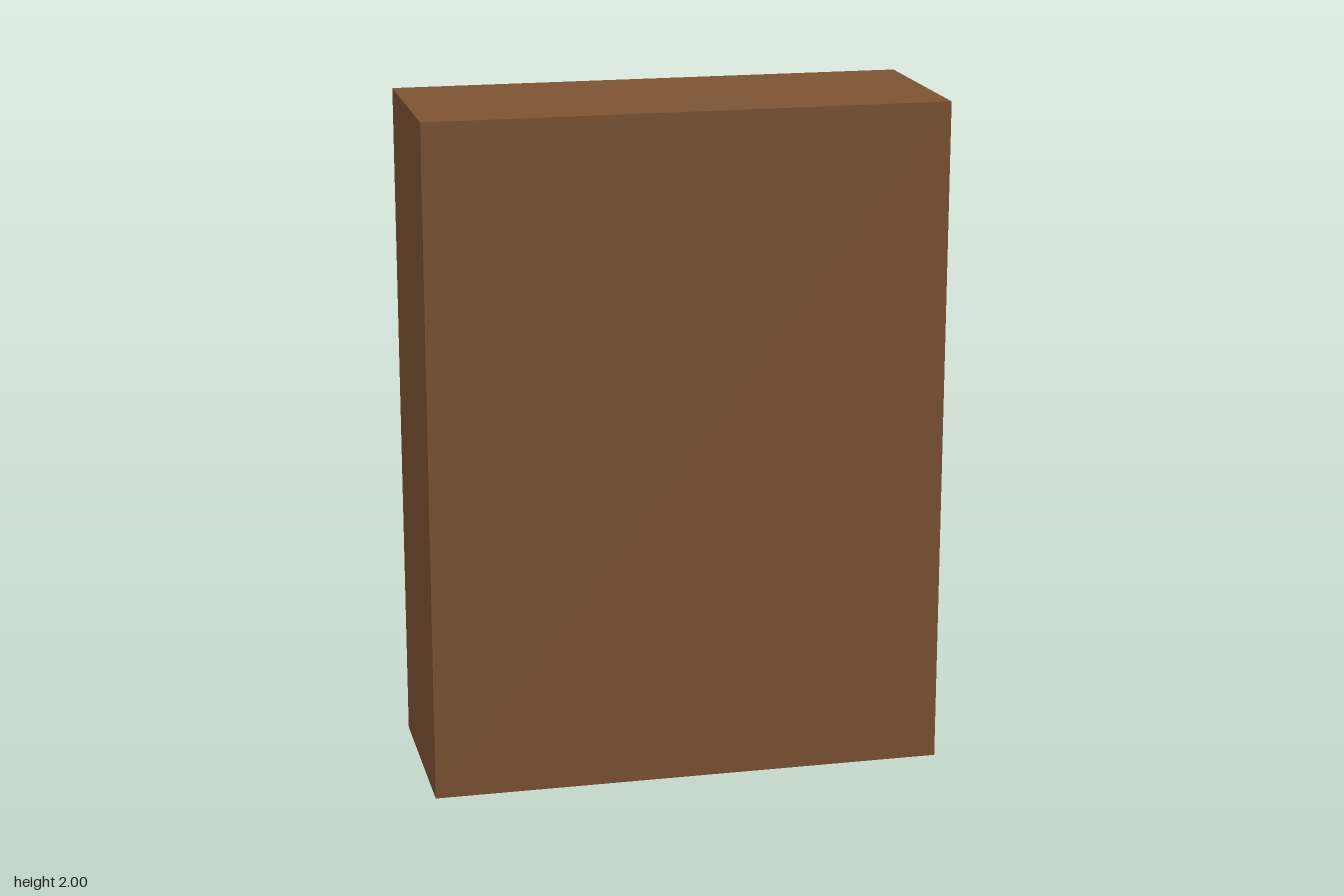
import * as THREE from 'three';

export function createModel() {
  const group = new THREE.Group();
  const material = (name, color) => {
    const m = new THREE.MeshStandardMaterial({ color });
    m.name = name;
    return m;
  };
  const wood = material('brown wood', 0x7d5434);
  const darkWood = material('dark wood', 0x4f3217);
  const metal = material('grey metal', 0xb2b5b9);

  // Box given by its centre x and y, its z range and its size
  const addBox = (name, mat, x, y, width, height, zBack, zFront) => {
    const mesh = new THREE.Mesh(new THREE.BoxGeometry(width, height, zFront - zBack), mat);
    mesh.name = name;
    mesh.position.set(x, y, (zBack + zFront) / 2);
    group.add(mesh);
  };

  const doorZ = -0.267; // door face, on the -z side

  // Cabinet body
  addBox('cabinetBody', wood, 0, 1, 1.524, 2, doorZ, 0.305);

  // Raised strip between the two doors
  addBox('doorSeam', darkWood, 0, 1, 0.019, 1.905, -0.286, doorZ + 0.005);

  // Pair of upright handles
  for (const side of [-1, 1]) {
    addBox(side > 0 ? 'leftHandle' : 'rightHandle', metal, side * 0.095, 1.048, 0.038, 0.286, -0.305, doorZ + 0.005);
  }

  return group;
}
